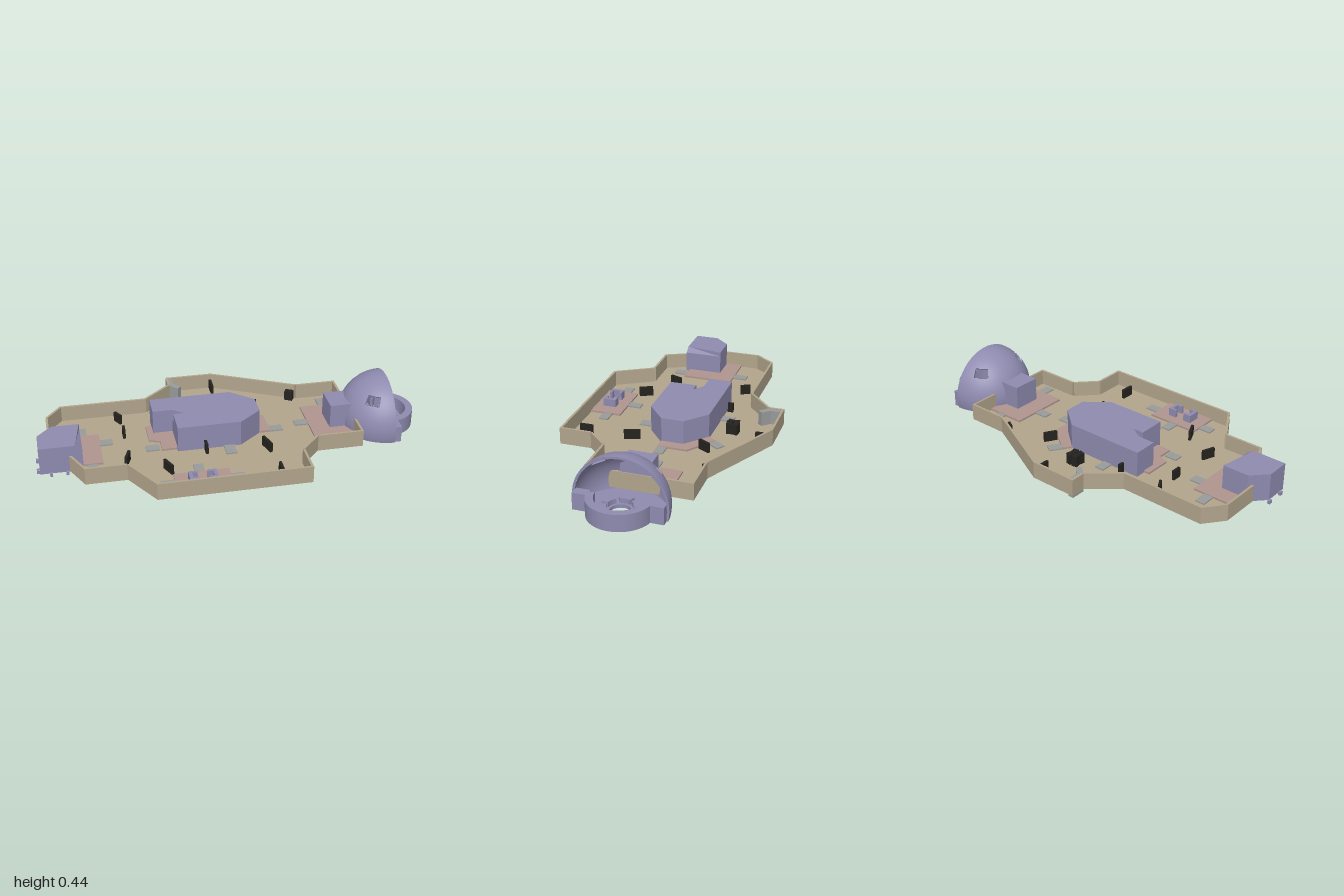
import * as THREE from 'three';

const mat = (color, side = THREE.FrontSide) => new THREE.MeshStandardMaterial({ color, side });
const hull = mat(0x8f8bb0), tan = mat(0xb2a58c), pink = mat(0xb0958f), grey = mat(0x999b9b), dark = mat(0x25231f);
const rad = THREE.MathUtils.degToRad;

export function createModel() {
  const model = new THREE.Group();
  const add = (name, geo, material, parent = model) => {
    const m = new THREE.Mesh(geo, material);
    m.name = name;
    parent.add(m);
    return m;
  };
  const group = (name) => {
    const g = new THREE.Group();
    g.name = name;
    model.add(g);
    return g;
  };
  // Upright solid from a plan shape drawn as (x, -z)
  const raise = (shape, y0, y1, curveSegments = 24) => {
    const g = new THREE.ExtrudeGeometry(shape, { depth: y1 - y0, bevelEnabled: false, curveSegments });
    return g.rotateX(-Math.PI / 2).translate(0, y0, 0);
  };
  const plan = (pts) => new THREE.Shape(pts.map(([x, z]) => new THREE.Vector2(x, -z)));
  const prism = (name, pts, y0, y1, m, parent) => add(name, raise(plan(pts), y0, y1), m, parent);
  const rect = (x0, z0, x1, z1) => [[x0, z0], [x1, z0], [x1, z1], [x0, z1]];
  const box = (name, x, z, w, d, y0, y1, angle, m, parent) => {
    const b = add(name, new THREE.BoxGeometry(w, y1 - y0, d), m, parent);
    b.position.set(x, (y0 + y1) / 2, z);
    b.rotation.y = rad(angle);
    return b;
  };

  // Deck and perimeter wall
  const outline = [[-0.255, -0.52], [0, -0.52], [0.435, -0.305], [0.655, -0.305], [0.655, 0.243], [0.415, 0.243],
    [0.318, 0.345], [0.318, 0.515], [-0.447, 0.515], [-0.565, 0.318], [-0.773, 0.318], [-0.84, 0.18],
    [-0.933, 0], [-0.933, -0.21], [-0.853, -0.313], [-0.4, -0.313], [-0.255, -0.44]];
  prism('deck', outline, 0.166, 0.173, tan);
  const walls = group('perimeterWall');
  outline.forEach(([x0, z0], i) => {
    const [x1, z1] = outline[(i + 1) % outline.length];
    const dx = x1 - x0, dz = z1 - z0, len = Math.hypot(dx, dz), t = 0.012;
    prism('wallPanel', [[x0, z0], [x1, z1], [x1 - dz / len * t, z1 + dx / len * t],
      [x0 - dz / len * t, z0 + dx / len * t]], 0.168, 0.255, tan, walls);
  });

  // Raised room floors
  const pads = group('roomFloors');
  [rect(0.43, -0.18, 0.645, 0.14), rect(-0.345, 0.335, -0.065, 0.505), rect(-0.925, -0.11, -0.67, 0.165),
    [[-0.42, -0.14], [-0.28, -0.14], [-0.28, 0.1], [-0.365, 0.1], [-0.365, 0.02], [-0.42, 0]],
    [[0.02, -0.18], [0.07, -0.235], [0.215, -0.13], [0.215, 0.025], [0.1, 0.025]],
  ].forEach((p) => prism('roomFloor', p, 0.17, 0.183, pink, pads));

  // Grey ramps: x, z, width, depth, turn
  const ramps = group('ramps');
  [[-0.757, -0.145, 0.05, 0.08, 0], [-0.64, -0.03, 0.07, 0.05, 0], [-0.725, 0.2, 0.05, 0.07, 0],
    [-0.2, -0.227, 0.05, 0.07, 0], [-0.41, 0.07, 0.07, 0.05, 0], [-0.022, 0.158, 0.055, 0.08, 0],
    [0.25, 0, 0.07, 0.05, 0], [0.1, -0.245, 0.05, 0.09, -35], [0.395, -0.03, 0.07, 0.05, 0],
    [0.56, -0.217, 0.05, 0.075, 0], [0.567, 0.175, 0.05, 0.07, 0], [-0.21, 0.3, 0.05, 0.07, 0],
    [-0.38, 0.405, 0.07, 0.05, 0], [-0.03, 0.405, 0.07, 0.05, 0],
  ].forEach(([x, z, w, d, a]) => box('ramp', x, z, w, d, 0.168, 0.18, a, grey, ramps));
  prism('cornerDuct', [[-0.25, -0.512], [-0.222, -0.512], [-0.222, -0.455], [-0.185, -0.415], [-0.205, -0.393],
    [-0.25, -0.435]], 0.15, 0.25, grey);

  // Dark standing barriers: x, z, length, turn from the z axis
  const barriers = group('barriers');
  [[-0.555, -0.23, 0.055, 30], [-0.54, -0.08, 0.05, 0], [-0.303, -0.215, 0.03, 0], [-0.007, -0.47, 0.085, 0],
    [0.175, -0.21, 0.07, -30], [-0.55, 0.175, 0.07, -20], [-0.36, 0.29, 0.075, 25], [-0.145, 0.148, 0.05, 0],
    [0.165, 0.18, 0.085, 17], [0.18, 0.425, 0.07, 0],
  ].forEach(([x, z, l, a]) => box('barrier', x, z, 0.014, l, 0.163, 0.225, a, dark, barriers));
  box('crate', 0.398, -0.295, 0.045, 0.035, 0.163, 0.225, -30, dark, barriers);
  for (const sx of [-1, 1]) for (const sz of [-1, 1]) {
    box('stackedCrate', -0.07 + sx * 0.017, -0.292 + sz * 0.017, 0.03, 0.03, 0.163, 0.23, sx * sz * 12, dark, barriers);
  }

  // Central building with its two supports
  prism('centralBuilding', [[-0.388, -0.195], [0.04, -0.195], [0.158, -0.094], [0.158, 0.024], [0.04, 0.12],
    [-0.286, 0.12], [-0.286, -0.024], [-0.23, -0.024], [-0.286, -0.067], [-0.388, -0.067]], 0.17, 0.31, hull);
  const wedge = new THREE.ExtrudeGeometry(new THREE.Shape([[-0.286, 0.17], [-0.22, 0.17], [-0.22, 0.31], [-0.286, 0.26]]
    .map((p) => new THREE.Vector2(...p))), { depth: 0.05, bevelEnabled: false });
  add('slopedNotch', wedge.translate(0, 0, -0.07), hull);
  const supports = group('supports');
  prism('backSupport', [[0, -0.18], [0.04, -0.18], [0.155, -0.1], [0.155, -0.057], [0, -0.057]], 0, 0.17, hull, supports);
  prism('frontSupport', [[0, 0.12], [0.04, 0.12], [0.155, 0.035], [0.11, 0.035]], 0, 0.17, hull, supports);

  // Facing consoles in the front room
  const consoles = group('consoles');
  for (const s of [-1, 1]) {
    const X = (v) => -0.21 + s * v;
    prism('console', [[X(0.025), 0.39], [X(0.07), 0.39], [X(0.07), 0.46], [X(0.025), 0.46], [X(0.025), 0.445],
      [X(0.052), 0.445], [X(0.052), 0.405], [X(0.025), 0.405]], 0.18, 0.225, hull, consoles);
  }

  // End building with a chamfered roof edge and studs beneath
  const endBuilding = group('endBuilding');
  const foot = [[-0.985, 0.06], [-0.91, -0.02], [-0.77, -0.02], [-0.77, 0.185], [-0.985, 0.185]];
  prism('endWalls', foot, 0.165, 0.285, hull, endBuilding);
  const roof = raise(plan(foot), 0.285, 0.31);
  const rp = roof.attributes.position;
  for (let i = 0; i < rp.count; i++) {
    if (rp.getY(i) > 0.3 && rp.getX(i) > -0.8 && rp.getZ(i) > 0.1) rp.setX(i, -0.805);
  }
  roof.computeVertexNormals();
  add('endRoof', roof, hull, endBuilding);
  [[-0.993, 0.055], [-0.993, 0.15], [-0.93, 0.19], [-0.85, 0.19], [-0.95, 0.1], [-0.88, 0.13]]
    .forEach(([x, z]) => box('stud', x, z, 0.014, 0.02, 0.154, 0.172, 0, hull, endBuilding));

  // Small room leading to the dome
  prism('domeEntrance', rect(0.53, -0.09, 0.65, 0.058), 0.17, 0.31, hull);

  // Quarter dome, open toward +x, made of curved patches around two windows
  const dome = group('dome');
  dome.position.set(0.838, 0.2, -0.012);
  const R = 0.236, r = 0.224, inside = mat(0x8f8bb0, THREE.BackSide), thin = mat(0x8f8bb0, THREE.DoubleSide);
  const patch = (p0, p1, t0, t1) => [[R, hull], [r, inside]].forEach(([rr, m]) => add('domeShell',
    new THREE.SphereGeometry(rr, Math.ceil((p1 - p0) / 6), Math.ceil((t1 - t0) / 6),
      rad(p0), rad(p1 - p0), rad(t0), rad(t1 - t0)), m, dome));
  patch(-90, 90, 0, 42);
  patch(-90, 90, 55, 103);
  [[-90, -66], [-42, 42], [66, 90]].forEach(([a, b]) => patch(a, b, 42, 55));
  // Window reveals
  const point = (rr, p, t) => new THREE.Vector3().setFromSphericalCoords(rr, rad(t), rad(p - 90));
  for (const p of [-66, 42]) {
    const c = [[p, 42], [p + 24, 42], [p + 24, 55], [p, 55]];
    c.forEach((a, i) => {
      const b = c[(i + 1) % 4];
      const g = new THREE.BufferGeometry().setFromPoints(
        [point(R, ...a), point(R, ...b), point(r, ...b), point(r, ...a)]);
      g.setIndex([0, 1, 2, 0, 2, 3]);
      g.computeVertexNormals();
      add('windowReveal', g, thin, dome);
    });
  }
  const rim = new THREE.RingGeometry(r, R, 40, 1, rad(-13), rad(206));
  add('domeRim', rim.rotateY(Math.PI / 2), thin, dome);

  // Curved balcony, side blocks, floor and inner console ring (ring centre is the dome centre)
  const balcony = group('balcony');
  balcony.position.set(0.838, 0, -0.012);
  const arc = (ro, ri, a0, a1) => {
    const s = new THREE.Shape();
    s.absarc(0, 0, ro, rad(a0), rad(a1), false);
    s.absarc(0, 0, ri, rad(a1), rad(a0), true);
    return s;
  };
  add('balconyWall', raise(arc(0.16, 0.122, -90, 90), 0.147, 0.235), hull, balcony);
  for (const s of [-1, 1]) box('sideBlock', 0.01, s * 0.185, 0.05, 0.076, 0.147, 0.235, 0, hull, balcony);
  add('balconyFloor', raise(arc(0.14, 0.05, -90, 90), 0.147, 0.155), hull, balcony);
  add('domeFloor', raise(arc(0.225, 0.05, 90, 270), 0.147, 0.155), hull, balcony);
  for (let i = 0; i < 6; i++) {
    add('consoleRing', raise(arc(0.095, 0.062, i * 60 - 24, i * 60 + 24), 0.15, 0.19, 8), hull, balcony);
  }
  add('consoleStep', raise(arc(0.102, 0.05, 0, 359.9), 0.15, 0.165), hull, balcony);
  return model;
}
